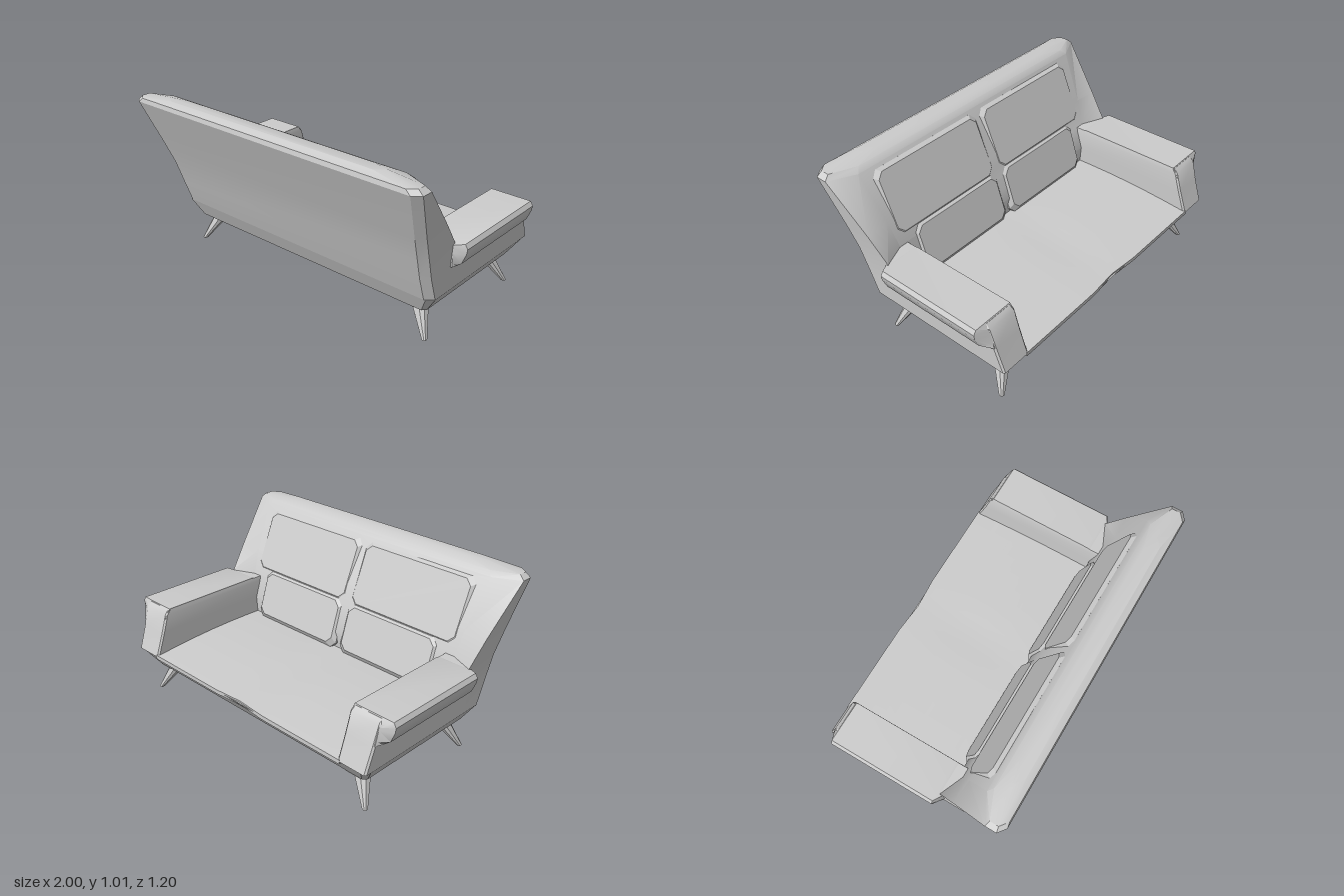
import * as THREE from 'three';
import { toCreasedNormals } from 'three/addons/utils/BufferGeometryUtils.js';

const material = new THREE.MeshStandardMaterial({ color: 0xcccccc, side: THREE.DoubleSide });

// Skin a list of equal-length rings, each counter-clockwise seen from the sweep direction, with flat caps.
function loft(rings, crease = 0.5) {
  const n = rings[0].length, last = (rings.length - 1) * n, index = [];
  for (let i = 0; i < rings.length - 1; i++) {
    for (let k = 0; k < n; k++) {
      const a = i * n + k, b = i * n + (k + 1) % n;
      index.push(a, b, b + n, a, b + n, a + n);
    }
  }
  for (let k = 1; k < n - 1; k++) {
    index.push(0, k + 1, k, last, last + k, last + k + 1);
  }
  const geometry = new THREE.BufferGeometry();
  geometry.setAttribute('position', new THREE.Float32BufferAttribute(rings.flat(2), 3));
  geometry.setIndex(index);
  return toCreasedNormals(geometry, crease);
}

const mirror = (rings) => rings.map((r) => r.map(([x, y, z]) => [-x, y, z]).reverse());

// Horizontal rectangle with cut corners
function rect(y, x0, x1, z0, z1, c) {
  return [[x1 - c, z1], [x1, z1 - c], [x1, z0 + c], [x1 - c, z0],
    [x0 + c, z0], [x0, z0 + c], [x0, z1 - c], [x0 + c, z1]].map(([x, z]) => [x, y, z]);
}

// Upright cushion centred on the origin, edges bevelled by b
function cushion(w, h, d, b) {
  const ring = (z, inset) => rect(z, inset - w / 2, w / 2 - inset, inset - h / 2, h / 2 - inset, 0.035)
    .map(([x, y, v]) => [x, -v, y]);
  return loft([ring(-d / 2, b), ring(-d / 2 + b, 0), ring(d / 2 - b, 0), ring(d / 2, b)]);
}

export function createModel() {
  const sofa = new THREE.Group();
  sofa.name = 'sofa';
  const add = (name, geometry) => {
    const mesh = new THREE.Mesh(geometry, material);
    mesh.name = name;
    sofa.add(mesh);
    return mesh;
  };

  // Tapered base with a recessed underside
  add('base', loft([
    rect(0.25, -0.68, 0.68, -0.38, 0.16, 0.06),
    rect(0.175, -0.72, 0.72, -0.42, 0.19, 0.06),
    rect(0.175, -0.85, 0.85, -0.52, 0.285, 0.02),
    rect(0.28, -0.92, 0.92, -0.595, 0.335, 0.035),
  ]));

  // Seat: two shallow swells that meet in the middle
  const seat = new THREE.BoxGeometry(1.5, 0.06, 0.84, 16, 1, 6);
  const p = seat.attributes.position;
  for (let i = 0; i < p.count; i++) {
    const x = p.getX(i), t = 0.5 - p.getZ(i) / 0.84;
    const swell = Math.min(1, Math.abs(x) / 0.19);
    const z = 0.24 - t * (0.825 + 0.015 * swell);
    const top = 0.32 - 0.03 * t * t + 0.008 * swell * Math.sin(Math.PI * t);
    p.setXYZ(i, x, p.getY(i) > 0 ? top : 0.265, z);
  }
  add('seat', toCreasedNormals(seat, 0.5));

  // Raked backrest with wings: height, half width, rear z, wing edge z, inner face z
  const backRings = [
    [0.28, 0.92, 0.335, 0.2, 0.2],
    [0.42, 0.925, 0.385, 0.17, 0.19],
    [0.56, 0.935, 0.43, 0.175, 0.235],
    [0.70, 0.955, 0.487, 0.28, 0.29],
    [0.97, 1.0, 0.6, 0.5, 0.425],
    [0.995, 0.97, 0.595, 0.51, 0.45],
    [1.015, 0.76, 0.56, 0.515, 0.49],
  ].map(([y, w, zb, ze, zc]) => {
    const half = [[w - 0.045, y, zb], [w, y, zb - 0.035], [w, y, ze], [w * 0.85, y, zc]];
    return [...half, ...mirror([half])[0]];
  });
  add('backrest', loft(backRings));

  // Armrests: a solid side with sloping front, and a rolled pad over the outside
  const armRings = [
    rect(0.28, 0.735, 0.92, -0.6, 0.3, 0.01),
    rect(0.42, 0.735, 0.925, -0.55, 0.3, 0.01),
    rect(0.53, 0.735, 0.93, -0.515, 0.26, 0.01),
    rect(0.555, 0.74, 0.925, -0.49, 0.25, 0.01),
  ];
  const padProfile = [[0.74, 0.56], [0.74, 0.50], [0.9, 0.42], [0.945, 0.425], [0.97, 0.445],
    [0.995, 0.505], [1.0, 0.535], [0.985, 0.56]];
  const padRing = (z, maxX, drop) => padProfile.map(([x, y]) =>
    [Math.min(x, maxX), y - (y > 0.54 ? drop : 0), z]);
  const padRings = [padRing(-0.535, 0.925, 0.04), padRing(-0.485, 1, 0), padRing(0.16, 1, 0), padRing(0.19, 0.935, 0.01)];
  // the lower front of the pad follows the slope of the arm
  padRings[0].forEach((v) => { v[2] = -0.515 - (0.52 - v[1]) * 0.3; });

  // Splayed legs, each on a small collar: x0, x1, z0, z1 at each height
  const legRings = (front) => {
    const z = (y, x0, x1, a, b, c) => (front
      ? rect(y, x0, x1, -0.24 - b, -0.24 - a, c) : rect(y, x0, x1, a, b, c));
    return {
      leg: [z(0, 0.838, 0.864, 0.26, 0.287, 0.006), z(0.16, 0.72, 0.805, 0.162, 0.242, 0.02)],
      collar: [z(0.157, 0.715, 0.81, 0.158, 0.245, 0.02), z(0.176, 0.69, 0.848, 0.125, 0.284, 0.03)],
    };
  };

  for (const [side, flip] of [['left', (r) => r], ['right', mirror]]) {
    const s = side === 'left' ? 1 : -1;
    add(side + 'Arm', loft(flip(armRings)));
    add(side + 'ArmPad', loft(flip(padRings), 0.7));
    for (const end of ['Front', 'Back']) {
      const { leg, collar } = legRings(end === 'Front');
      add(side + end + 'Leg', loft(flip(leg)));
      add(side + end + 'LegCollar', loft(flip(collar)));
    }

    // Loose cushions leaning on the backrest
    const upper = add(side + 'BackCushion', cushion(0.77, 0.39, 0.08, 0.02));
    upper.position.set(s * 0.4, 0.762, 0.357);
    upper.rotation.x = 0.4;
    const lower = add(side + 'LumbarCushion', cushion(0.67, 0.31, 0.12, 0.025));
    lower.position.set(s * 0.352, 0.456, 0.252);
    lower.rotation.x = 0.32;
  }
  return sofa;
}
